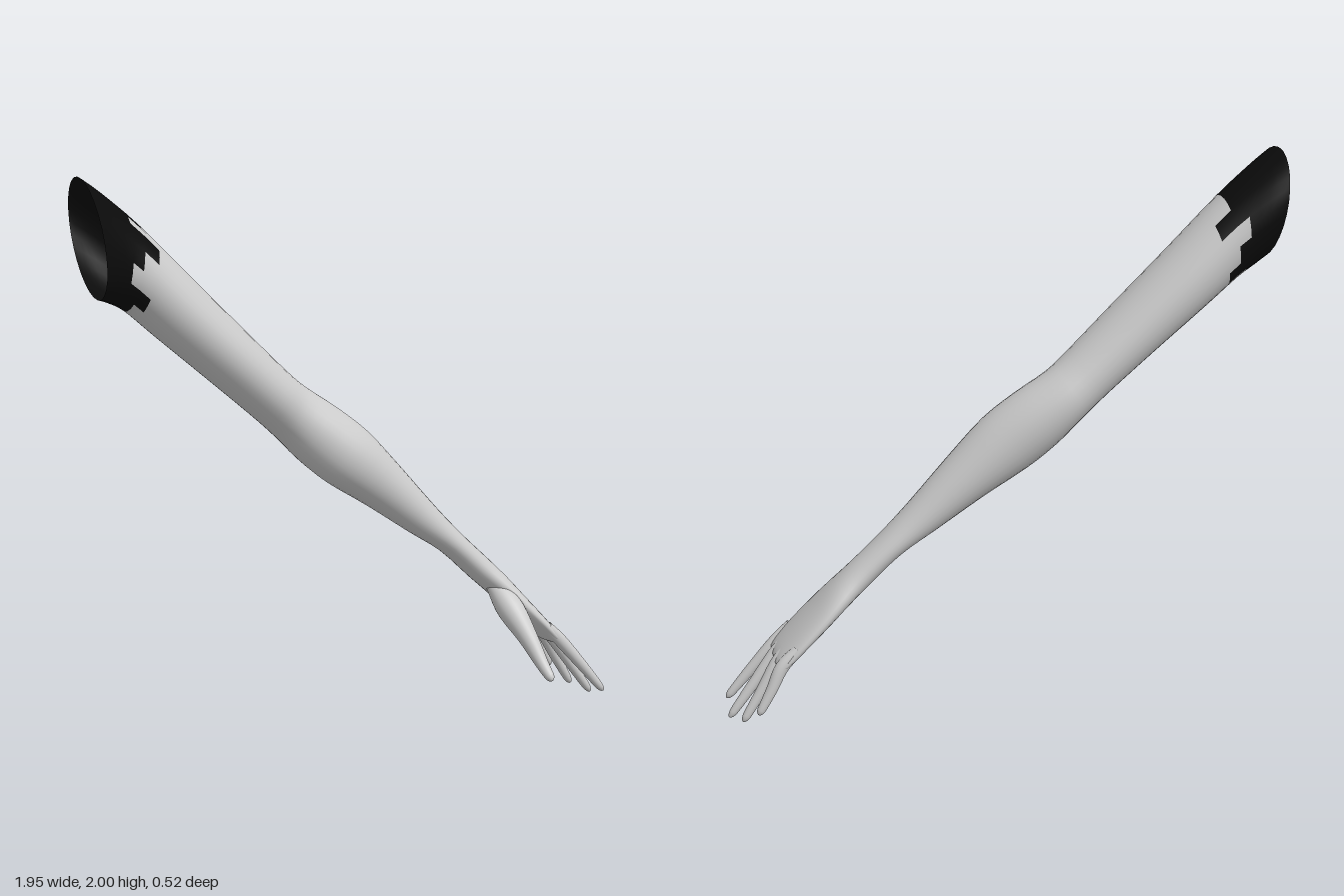
import * as THREE from 'three';

const SIDES = 28;

// Skin a list of rings {c, u, v}; rows before darkRows[column] use the second material
function loft(rings, closeEnd, darkRows) {
  const pos = [];
  for (const { c, u, v } of rings) {
    for (let j = 0; j < SIDES; j++) {
      const a = (j / SIDES) * Math.PI * 2;
      const p = c.clone().addScaledVector(u, Math.cos(a)).addScaledVector(v, Math.sin(a));
      pos.push(p.x, p.y, p.z);
    }
  }
  const light = [], dark = [];
  for (let i = 0; i < rings.length - 1; i++) {
    for (let j = 0; j < SIDES; j++) {
      const k = (j + 1) % SIDES;
      const a = i * SIDES + j, b = i * SIDES + k;
      const list = darkRows && i < darkRows[j % darkRows.length] ? dark : light;
      list.push(a, b, a + SIDES, b, b + SIDES, a + SIDES);
    }
  }
  if (closeEnd) {
    const last = rings.length - 1;
    pos.push(...rings[last].c.toArray());
    for (let j = 0; j < SIDES; j++) {
      light.push(last * SIDES + j, last * SIDES + (j + 1) % SIDES, rings.length * SIDES);
    }
  }
  const geo = new THREE.BufferGeometry();
  geo.setAttribute('position', new THREE.Float32BufferAttribute(pos, 3));
  geo.setIndex([...light, ...dark]);
  geo.addGroup(0, light.length, 0);
  geo.addGroup(light.length, dark.length, 1);
  geo.computeVertexNormals();
  return geo;
}

// Tapered digit with a rounded tip along a curve
function digit(points, radii) {
  const curve = new THREE.CatmullRomCurve3(points.map(p => new THREE.Vector3(...p)));
  const size = new THREE.CatmullRomCurve3(radii.map(r => new THREE.Vector3(r, 0, 0)));
  const back = new THREE.Vector3(0.68, 0.73, 0);
  const steps = [];
  for (let i = 0; i <= 14; i++) steps.push(i / 15);
  steps.push(0.96, 0.98, 0.992, 0.998);
  return loft(steps.map(t => {
    const d = curve.getTangent(t);
    const v = d.clone().cross(back).normalize();
    const u = v.clone().cross(d);
    const k = Math.max(0, (t - 0.92) / 0.08);
    const r = size.getPoint(t).x * Math.sqrt(1 - k * k);
    return { c: curve.getPoint(t), u: u.multiplyScalar(r), v: v.multiplyScalar(r) };
  }), true);
}

// Arm sections: upper edge x, y, lower edge x, y, back z, front z
const SECTIONS = [
  [-0.98, 2.00, -0.945, 1.60, -0.26, 0.12],
  [-0.91, 1.95, -0.90, 1.585, -0.26, 0.08],
  [-0.78, 1.84, -0.83, 1.55, -0.25, 0.035],
  [-0.60, 1.66, -0.72, 1.455, -0.245, 0.03],
  [-0.40, 1.46, -0.55, 1.31, -0.235, 0.03],
  [-0.25, 1.315, -0.38, 1.165, -0.23, 0.015],
  [-0.17, 1.25, -0.28, 1.075, -0.235, 0],
  [-0.06, 1.175, -0.20, 0.99, -0.225, 0.015],
  [0.05, 1.085, -0.10, 0.905, -0.205, 0.03],
  [0.17, 0.955, 0.05, 0.81, -0.18, 0.02],
  [0.32, 0.785, 0.22, 0.695, -0.155, 0.005],
  [0.43, 0.67, 0.35, 0.61, -0.147, 0],
  [0.53, 0.575, 0.47, 0.50, -0.147, 0.005],
  [0.60, 0.505, 0.55, 0.43, -0.17, 0.03],
  [0.665, 0.43, 0.61, 0.375, -0.183, 0.06],
  [0.74, 0.345, 0.69, 0.30, -0.186, 0.076],
  [0.795, 0.28, 0.755, 0.24, -0.183, 0.077],
  [0.81, 0.25, 0.79, 0.235, -0.178, 0.07],
];

function armRings() {
  const curve = f => new THREE.CatmullRomCurve3(SECTIONS.map(f), false, 'catmullrom', 0.5);
  // The open shoulder end leans slightly forward at the bottom
  const skew = i => (i === 0 ? -0.04 : i === 1 ? -0.02 : 0);
  const top = curve((s, i) => new THREE.Vector3(s[0], s[1], skew(i)));
  const bottom = curve((s, i) => new THREE.Vector3(s[2], s[3], -skew(i)));
  const depth = curve(s => new THREE.Vector3(s[4], s[5], 0));
  const rings = [], n = (SECTIONS.length - 1) * 3;
  for (let i = 0; i <= n; i++) {
    const a = top.getPoint(i / n), b = bottom.getPoint(i / n), z = depth.getPoint(i / n);
    const c = a.clone().add(b).multiplyScalar(0.5);
    c.z = (z.x + z.y) / 2;
    rings.push({
      c, u: a.sub(b).multiplyScalar(0.5),
      v: new THREE.Vector3(0, 0, (z.y - z.x) / 2),
    });
  }
  return rings;
}

export function createModel() {
  const skin = new THREE.MeshStandardMaterial({ color: 0xcccccc, side: THREE.DoubleSide });
  skin.name = 'light grey skin';
  const sleeve = new THREE.MeshStandardMaterial({ color: 0x0b0b0b, side: THREE.DoubleSide });
  sleeve.name = 'black sleeve';

  const model = new THREE.Group();
  model.name = 'arm';
  const add = (name, geo, mat) => {
    const mesh = new THREE.Mesh(geo, mat);
    mesh.name = name;
    model.add(mesh);
  };

  // Hollow arm and palm, with a ragged black band around the shoulder
  const ragged = [6, 6, 5, 7, 7, 6, 6, 5, 5, 7, 7, 6, 6, 6];
  add('armAndPalm', loft(armRings(), true, ragged), [skin, sleeve]);

  // Fingers: base z, tip position
  const fingers = {
    indexFinger: [0.054, 0.972, 0.035, 0.072],
    middleFinger: [-0.018, 0.972, 0.004, -0.022],
    ringFinger: [-0.088, 0.93, 0.022, -0.1],
    littleFinger: [-0.158, 0.88, 0.08, -0.172],
  };
  for (const [name, [z, x, y, tipZ]] of Object.entries(fingers)) {
    const mid = [0.77 * 0.45 + x * 0.55, 0.265 * 0.45 + y * 0.55 + 0.006, (z + tipZ) / 2];
    add(name, digit([[0.73, 0.312, z], [0.79, 0.25, z], mid, [x, y, tipZ]],
      [0.02, 0.024, 0.02, 0.014]), skin);
  }

  // Thumb with its broad root
  add('thumb', digit(
    [[0.55, 0.475, -0.04], [0.58, 0.395, 0.04], [0.608, 0.305, 0.125], [0.63, 0.22, 0.195], [0.642, 0.168, 0.252]],
    [0.03, 0.05, 0.036, 0.024, 0.016]), skin);

  return model;
}
